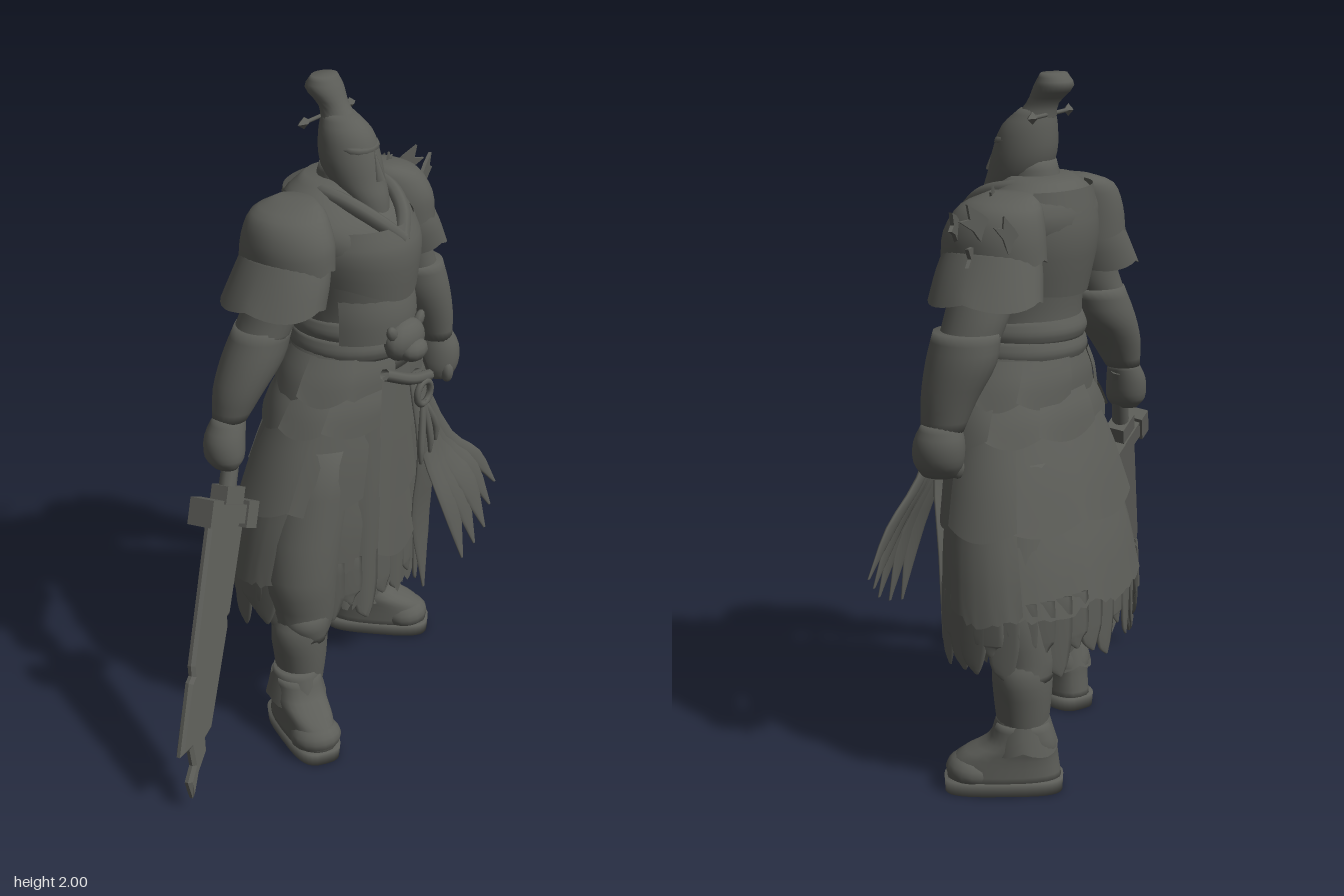
import * as THREE from 'three';

const CX = 0.19; // body axis

export function createModel() {
  const root = new THREE.Group();
  root.name = 'armouredWarrior';
  const iron = new THREE.MeshStandardMaterial({ color: 0x5c5d58, side: THREE.DoubleSide });
  iron.name = 'darkIron';

  function add(geo, name, parent = root, pos = [0, 0, 0], rot = [0, 0, 0], scale = [1, 1, 1]) {
    const m = new THREE.Mesh(geo, iron);
    m.name = name;
    m.position.set(...pos);
    m.rotation.set(...rot);
    m.scale.set(...scale);
    parent.add(m);
    return m;
  }

  // Skin through elliptical rings [x, y, z, rx, rz], listed from top to bottom.
  // a0..a1 makes an open panel; hem(t, a) drops the last ring; fold ripples the radius; power < 1 squares the rings.
  function loft(rings, { seg = 24, a0 = 0, a1 = Math.PI * 2, sub = 3, hem = null, fold = 0, folds = 20, power = 1 } = {}) {
    const full = a1 - a0 > 6.28, cols = full ? seg : seg + 1;
    const rows = (rings.length - 1) * sub, pos = [], idx = [];
    const spine = new THREE.CatmullRomCurve3(rings.map(r => new THREE.Vector3(r[0], r[1], r[2])), false, 'centripetal');
    const sizes = new THREE.CatmullRomCurve3(rings.map(r => new THREE.Vector3(r[3], r[4], r[1])), false, 'centripetal');
    const bend = v => Math.sign(v) * Math.abs(v) ** power;
    for (let i = 0; i <= rows; i++) {
      const c = spine.getPoint(i / rows), s = sizes.getPoint(i / rows), v = i / rows;
      for (let j = 0; j < cols; j++) {
        const t = j / seg, a = a0 + (a1 - a0) * t;
        const k = 1 + fold * v * Math.cos(a * folds);
        const drop = hem ? hem(t, a) * v * v : 0;
        pos.push(c.x + s.x * k * bend(Math.sin(a)), c.y - drop, c.z + s.y * k * bend(Math.cos(a)));
      }
    }
    for (let i = 0; i < rows; i++) for (let j = 0; j < seg; j++) {
      const A = i * cols + j, B = i * cols + (j + 1) % cols, C = A + cols, D = B + cols;
      idx.push(A, C, D, A, D, B);
    }
    if (full) {
      const f = rings[0], l = rings[rings.length - 1], n = pos.length / 3, e = rows * cols;
      pos.push(f[0], f[1], f[2], l[0], l[1], l[2]);
      for (let j = 0; j < seg; j++) {
        const k = (j + 1) % seg;
        idx.push(n, j, k);
        if (!hem) idx.push(n + 1, e + k, e + j);
      }
    }
    const g = new THREE.BufferGeometry();
    g.setAttribute('position', new THREE.Float32BufferAttribute(pos, 3));
    g.setIndex(idx);
    g.computeVertexNormals();
    return g;
  }
  const ragged = (d, n = 7) => (t, a) => d * (Math.sin(a * n) + Math.sin(a * n * 2.7 + 1) + Math.sin(a * n * 4.3 + 2)) * 0.5;
  const mirrored = rings => rings.map(([x, ...r]) => [2 * CX - x, ...r]);
  const polygon = points => new THREE.Shape(points.map(p => new THREE.Vector2(...p)));

  // Head with a wedge beard, topknot and hairpin
  add(loft([[CX, 1.9, -0.05, 0.045, 0.05], [CX, 1.85, -0.025, 0.075, 0.08], [CX, 1.78, -0.01, 0.088, 0.092],
    [CX, 1.72, 0.01, 0.083, 0.088], [CX, 1.67, 0.045, 0.068, 0.07], [CX, 1.61, 0.08, 0.044, 0.042], [CX, 1.56, 0.11, 0.01, 0.015]]), 'head');
  add(loft([[CX, 1.76, -0.03, 0.07, 0.07], [CX, 1.62, -0.04, 0.09, 0.1]]), 'neck');
  add(new THREE.ConeGeometry(0.02, 0.09, 6), 'nose', root, [CX, 1.765, 0.085], [-0.2, 0, 0]);
  add(new THREE.SphereGeometry(0.07, 16, 8), 'brow', root, [CX, 1.815, 0.02], [0.2, 0, 0], [1.08, 0.35, 0.8]);
  add(loft([[CX, 2.0, -0.1, 0.045, 0.035], [CX, 1.965, -0.1, 0.06, 0.055], [CX, 1.915, -0.065, 0.044, 0.046], [CX, 1.86, -0.035, 0.062, 0.066]]), 'topknot');
  add(new THREE.CylinderGeometry(0.006, 0.006, 0.22, 8), 'hairpin', root, [CX, 1.886, -0.09], [0, 0, Math.PI / 2]);
  for (const s of [-1, 1]) {
    add(new THREE.OctahedronGeometry(0.02), 'hairpinTip', root, [CX + s * 0.113, 1.886, -0.09], [0, 0, 0], [1.5, 0.9, 0.8]);
    // High crossed collar
    const lapel = new THREE.CatmullRomCurve3([[0.06, 1.68, -0.14], [0.105, 1.69, -0.04], [0.1, 1.67, 0.06], [0.06, 1.62, 0.135], [0, 1.56, 0.175]]
      .map(p => new THREE.Vector3(CX + s * p[0], p[1], p[2])));
    add(new THREE.TubeGeometry(lapel, 20, 0.024, 8), 'collarLapel');
  }

  // Torso with overlapping plates
  add(loft([[CX, 1.72, -0.06, 0.1, 0.085], [CX, 1.675, -0.06, 0.18, 0.13], [CX, 1.6, -0.03, 0.23, 0.18], [CX, 1.5, 0, 0.2, 0.19],
    [CX, 1.36, 0.005, 0.175, 0.175], [CX, 1.26, 0, 0.18, 0.17], [CX, 1.15, 0, 0.24, 0.18]], { seg: 32 }), 'torso');
  add(loft([[CX, 1.605, 0.01, 0.185, 0.165], [CX, 1.53, 0.005, 0.205, 0.2], [CX, 1.41, 0.005, 0.19, 0.19]],
    { a0: -1.3, a1: 1.3, hem: (t, a) => 0.03 * Math.cos(a * 2.4) }), 'breastplate');
  add(loft([[CX, 1.69, -0.08, 0.17, 0.115], [CX, 1.56, -0.03, 0.215, 0.185], [CX, 1.42, -0.01, 0.19, 0.175]],
    { a0: 1.9, a1: 4.38, hem: (t, a) => -0.03 * Math.cos(a) }), 'backplate');
  add(loft([[CX, 1.43, 0, 0.175, 0.17], [CX, 1.34, 0.01, 0.185, 0.185], [CX, 1.26, 0.01, 0.185, 0.188]], { a0: -1.2, a1: 1.2 }), 'bellyPlate');
  for (const [y, r] of [[1.29, 0.18], [1.235, 0.19]])
    add(loft([[CX, y + 0.035, 0.005, r - 0.008, 0.178], [CX, y, 0.005, r + 0.006, 0.19], [CX, y - 0.03, 0.005, r, 0.18]], { seg: 32 }), 'belt');

  // Beast-face buckle
  add(new THREE.SphereGeometry(0.075, 16, 10), 'buckle', root, [CX, 1.25, 0.19], [0, 0, 0], [1.15, 0.85, 0.65]);
  add(new THREE.SphereGeometry(0.045, 12, 8), 'buckleSnout', root, [CX, 1.225, 0.222], [0, 0, 0], [1.2, 0.8, 0.9]);
  for (const s of [-1, 1]) add(new THREE.SphereGeometry(0.025, 8, 6), 'buckleEar', root, [CX + s * 0.07, 1.29, 0.195], [0, 0, -s * 0.7], [0.8, 1.2, 0.6]);

  // Cloth skirt with a torn hem
  add(loft([[CX, 1.18, 0, 0.2, 0.17], [CX, 0.8, -0.03, 0.335, 0.2], [CX, 0.55, -0.055, 0.38, 0.23], [CX, 0.43, -0.06, 0.375, 0.235]],
    { seg: 120, hem: ragged(0.03, 9), fold: 0.025, folds: 22 }), 'clothSkirt');
  add(loft([[CX, 1.16, 0, 0.225, 0.185], [CX, 0.8, -0.02, 0.34, 0.21], [CX, 0.4, -0.03, 0.37, 0.21]],
    { seg: 40, a0: -0.55, a1: 0.62, hem: ragged(0.025, 11), fold: 0.035, folds: 16 }), 'frontCloth');
  for (const [y0, y1] of [[1.16, 0.98], [1.0, 0.78], [0.8, 0.58]])
    add(loft([[CX - 0.03, y0, 0, 0.24, 0.192], [CX - 0.03, y1, -0.015, 0.34, 0.222]],
      { seg: 12, a0: -0.3, a1: 0.32, hem: t => 0.04 * Math.sin(t * Math.PI) }), 'apronPlate');

  // Tiered, flaring skirt plates around the hips: [y, z, rx, rz] top and bottom, front gap, count
  const tiers = [
    [[1.22, 0, 0.2, 0.175], [1.11, 0, 0.275, 0.19], 0.2, 9],
    [[1.13, 0, 0.235, 0.18], [1.015, -0.01, 0.32, 0.205], 0.3, 8],
    [[1.05, -0.01, 0.27, 0.185], [0.775, -0.045, 0.395, 0.237], 0.5, 7],
    [[0.82, -0.03, 0.345, 0.21], [0.54, -0.065, 0.412, 0.248], 0.5, 7],
  ];
  tiers.forEach(([t, b, gap, n], k) => {
    const step = (Math.PI * 2 - gap * 2) / n;
    for (let i = 0; i < n; i++) {
      const o = (i % 2) * 0.008, a = gap + i * step;
      const mid = t.map((v, q) => (v + b[q]) / 2 + (q > 1 ? 0.006 : 0));
      const rings = [t, mid, b].map(([y, z, rx, rz]) => [CX, y, z, rx + o, rz + o]);
      add(loft(rings, { seg: 14, a0: a - 0.05, a1: a + step + 0.05,
        hem: (u, w) => 0.03 * Math.sin(u * Math.PI) - 0.01 + (k === 3 ? ragged(0.01, 13)(u, w) : 0) }), 'skirtPlate');
    }
  });
  // Torn strips hanging below the plates
  for (let i = 0; i < 34; i++) {
    const a = i * Math.PI / 17, x = CX + 0.392 * Math.sin(a), z = -0.062 + 0.238 * Math.cos(a), d = 0.395 + 0.04 * Math.sin(i * 2.3);
    const strip = loft([[0, 0.58, 0, 0.045, 0.006], [0, 0.46, 0, 0.045, 0.006], [0, d + 0.02, 0, 0.03, 0.005], [0.01, d - 0.01, 0, 0.006, 0.003]], { seg: 8 });
    add(strip, 'hemStrip', root, [x, 0, z], [0, a, 0]);
  }

  // Tattered sash, blown forward and to the side: tip x, y, z and half width
  for (const [x, y, z, w] of [[0.32, 0.34, 0.2, 0.045], [0.37, 0.46, 0.31, 0.045], [0.44, 0.48, 0.31, 0.045], [0.5, 0.51, 0.31, 0.045], [0.56, 0.56, 0.29, 0.04], [0.62, 0.61, 0.27, 0.035]])
    add(loft([[0.25, 1.12, 0.19, 0.03, 0.012], [0.25 + (x - 0.25) * 0.38, 0.86, 0.222, w, 0.01],
      [0.25 + (x - 0.25) * 0.72, (y + 0.86) / 2 + 0.01, 0.18 + (z - 0.18) * 0.75, w * 1.15, 0.008], [x, y, z, 0.006, 0.003]], { seg: 10 }), 'sashStrip');
  add(new THREE.TorusGeometry(0.036, 0.011, 8, 20), 'sashRing', root, [0.26, 1.055, 0.22]);
  const knot = new THREE.CatmullRomCurve3([[0.09, 1.17, 0.19], [0.2, 1.12, 0.21], [0.31, 1.09, 0.205]].map(p => new THREE.Vector3(...p)));
  add(new THREE.TubeGeometry(knot, 12, 0.018, 8), 'sashCord');
  for (const [x, y] of [[0.23, 0.83], [0.28, 0.85], [0.31, 0.88]])
    add(loft([[0.26, 1.03, 0.22, 0.012, 0.008], [x, y + 0.05, 0.235, 0.014, 0.01], [x, y, 0.235, 0.006, 0.005]], { seg: 8 }), 'tassel');

  // Layered shoulder guards
  const scallop = (t, a) => 0.02 * Math.abs(Math.sin(a * 2));
  const upper = [[-0.005, 1.695, -0.06, 0.04, 0.06], [-0.045, 1.665, -0.055, 0.095, 0.115], [-0.065, 1.6, -0.045, 0.112, 0.145], [-0.07, 1.53, -0.045, 0.112, 0.152]];
  const lower = [[-0.07, 1.57, -0.045, 0.1, 0.13], [-0.095, 1.5, -0.045, 0.12, 0.15], [-0.13, 1.43, -0.05, 0.13, 0.162]];
  for (const f of [r => r, mirrored]) {
    add(loft(f(upper), { seg: 32, hem: scallop }), 'shoulderGuard');
    add(loft(f(lower), { seg: 32, hem: scallop }), 'lowerShoulderGuard');
  }
  // Broken plates splintering off the left shoulder
  const shard = new THREE.ExtrudeGeometry(polygon([[-0.035, 0], [0.04, 0], [0.03, 0.06], [0.042, 0.12], [0.012, 0.095], [-0.015, 0.135], [-0.03, 0.07]]),
    { depth: 0.012, bevelEnabled: false });
  for (const [x, y, z, ry, rz, s] of [[0.52, 1.6, 0.02, 0.3, -1.05, 0.85], [0.53, 1.6, -0.08, -0.5, -0.8, 0.85], [0.5, 1.53, -0.03, 0.2, -1.3, 0.85], [0.41, 1.65, -0.03, 0.2, -0.3, 0.5], [0.52, 1.57, -0.15, -0.6, -0.5, 0.7]])
    add(shard, 'shoulderShard', root, [x, y, z], [0, ry, rz], [s, s, s]);

  // Arms and fists
  add(loft([[-0.08, 1.52, -0.05, 0.09, 0.09], [-0.12, 1.38, -0.07, 0.085, 0.085], [-0.15, 1.31, -0.085, 0.08, 0.085]]), 'rightUpperArm');
  add(loft([[-0.135, 1.345, -0.08, 0.085, 0.085], [-0.17, 1.25, -0.095, 0.095, 0.09], [-0.22, 1.16, -0.11, 0.075, 0.075], [-0.25, 1.08, -0.12, 0.052, 0.052]]), 'rightBracer');
  add(loft([[-0.25, 1.09, -0.12, 0.05, 0.045], [-0.275, 1.03, -0.12, 0.062, 0.06], [-0.285, 0.97, -0.115, 0.055, 0.06], [-0.29, 0.94, -0.11, 0.03, 0.04]]), 'rightHand');
  add(loft([[0.46, 1.52, -0.04, 0.09, 0.09], [0.52, 1.38, -0.03, 0.085, 0.09], [0.55, 1.3, -0.015, 0.08, 0.085]]), 'leftUpperArm');
  add(loft([[0.55, 1.34, -0.015, 0.085, 0.095], [0.565, 1.26, -0.005, 0.088, 0.1], [0.59, 1.16, 0.02, 0.07, 0.08], [0.605, 1.07, 0.035, 0.052, 0.06]]), 'leftBracer');
  add(loft([[0.61, 1.09, 0.035, 0.048, 0.055], [0.615, 1.04, 0.04, 0.066, 0.072], [0.61, 0.98, 0.045, 0.064, 0.07], [0.6, 0.94, 0.05, 0.04, 0.05]]), 'leftFist');
  for (let i = 0; i < 4; i++) add(new THREE.SphereGeometry(0.021, 8, 6), 'leftFinger', root, [0.585, 0.965, 0.1 - i * 0.033], [0, 0, 0], [1, 1.6, 1]);

  // Broken greatsword
  const sword = new THREE.Group();
  sword.name = 'sword';
  sword.position.set(-0.345, 0.82, -0.08);
  sword.quaternion.setFromUnitVectors(new THREE.Vector3(0, -1, 0), new THREE.Vector3(-0.4, -0.9, 0.135).normalize());
  root.add(sword);
  const outline = [[-0.068, 0], [0.102, 0], [0.09, -0.3], [0.08, -0.31], [0.088, -0.34], [0.07, -0.64], [0.045, -0.67], [0.058, -0.71], [0.035, -0.77],
    [0.022, -0.85], [-0.012, -0.8], [0, -0.75], [-0.025, -0.7], [-0.066, -0.72], [-0.068, -0.5], [-0.058, -0.48], [-0.068, -0.45]];
  const blade = new THREE.ExtrudeGeometry(polygon(outline),
    { depth: 0.012, bevelThickness: 0.008, bevelSize: 0.012, bevelOffset: -0.012, bevelSegments: 1 });
  add(blade, 'blade', sword, [0, 0, -0.006]);
  add(new THREE.BoxGeometry(0.21, 0.055, 0.07), 'guard', sword, [0.01, 0, 0]);
  for (const x of [-0.08, 0.095]) add(new THREE.BoxGeometry(0.05, 0.08, 0.085), 'guardBlock', sword, [x, 0, 0]);
  add(new THREE.BoxGeometry(0.085, 0.06, 0.06), 'guardCollar', sword, [0.015, 0.05, 0]);
  add(new THREE.CylinderGeometry(0.024, 0.027, 0.26, 10), 'grip', sword, [0.01, 0.15, 0]);

  // Legs and boots: [ankle x, ankle z, hip x, hip z, boot x, yaw, name]
  for (const [x, z, hx, hz, bx, yaw, side] of [[-0.12, 0.035, 0.02, 0.01, -0.142, -0.52, 'right'], [0.475, -0.14, 0.35, -0.06, 0.475, 0.47, 'left']]) {
    const mx = x * 0.85 + hx * 0.15;
    add(loft([[hx, 0.95, hz, 0.13, 0.13], [mx, 0.55, (z + hz) / 2, 0.12, 0.115], [mx, 0.4, z, 0.1, 0.092], [x, 0.34, z, 0.09, 0.085]]), side + 'Trouser');
    add(loft([[mx, 0.42, z + 0.005, 0.088, 0.08], [x, 0.36, z, 0.096, 0.084], [x, 0.26, z, 0.082, 0.08], [x, 0.15, z, 0.064, 0.068]]), side + 'Greave');
    add(loft([[mx, 0.45, z + 0.03, 0.06, 0.05], [x, 0.4, z + 0.025, 0.08, 0.07], [x, 0.33, z + 0.03, 0.05, 0.055]]), side + 'KneePlate');
    const boot = new THREE.Group();
    boot.name = side + 'Boot';
    boot.position.set(bx, 0, z);
    boot.rotation.y = yaw;
    root.add(boot);
    add(loft([[0, 0.21, 0, 0.072, 0.075], [0, 0.15, 0.005, 0.078, 0.1], [0, 0.105, 0.045, 0.073, 0.145], [0, 0.03, 0.055, 0.074, 0.165]], { power: 0.8 }), 'bootUpper', boot);
    add(loft([[0, 0.04, 0.055, 0.077, 0.17], [0, 0, 0.055, 0.073, 0.168]], { sub: 1, seg: 32, power: 0.6 }), 'sole', boot);
    add(new THREE.SphereGeometry(0.08, 16, 10), 'toeCap', boot, [0, 0.06, 0.145], [-0.1, 0, 0], [1, 0.65, 0.95]);
    add(loft([[0, 0.23, 0, 0.068, 0.073], [0, 0.14, 0, 0.093, 0.1]], { hem: scallop }), 'ankleGuard', boot);
  }
  return root;
}
